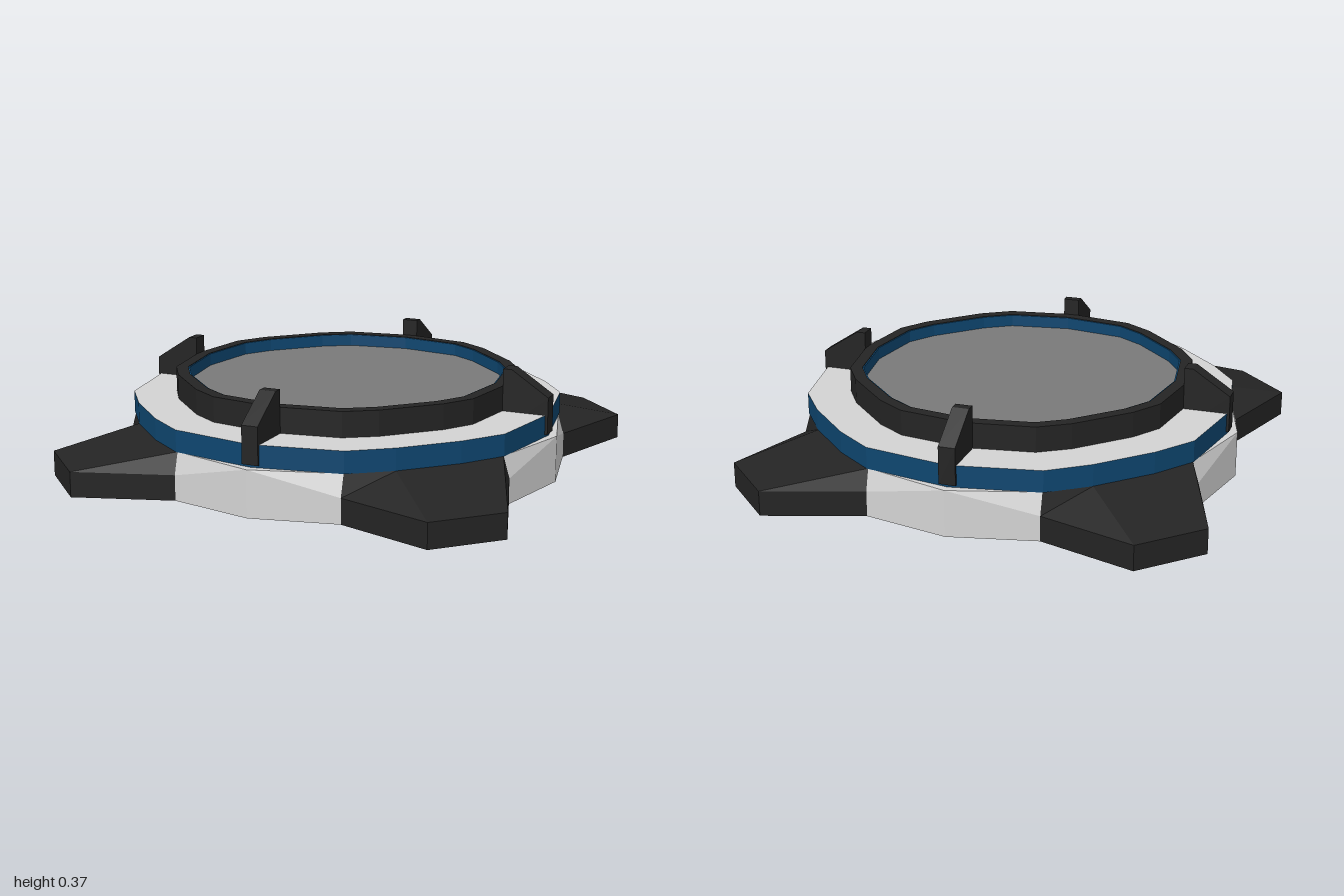
import * as THREE from 'three';

const mat = (name, color) => {
  const m = new THREE.MeshStandardMaterial({ color });
  m.name = name;
  return m;
};

// Repeats one quarter's points around the vertical axis
function fourfold(quarter, scale = 1) {
  const points = [];
  for (let q = 0; q < 4; q++) {
    for (const [x, y, h] of quarter) {
      const p = new THREE.Vector2(x, y).multiplyScalar(scale);
      for (let i = 0; i < q; i++) p.set(-p.y, p.x);
      points.push({ x: p.x, y: p.y, h });
    }
  }
  return points;
}

const toShape = (points) => new THREE.Shape(points.map((p) => new THREE.Vector2(p.x, p.y)));

// Upright slab with an optional hole, from y0 to y1
function slab(name, outer, y0, y1, materials, inner) {
  const shape = toShape(outer);
  if (inner) shape.holes.push(toShape(inner));
  const geo = new THREE.ExtrudeGeometry(shape, { depth: y1 - y0, bevelEnabled: false });
  geo.rotateX(-Math.PI / 2).translate(0, y0, 0);
  const mesh = new THREE.Mesh(geo, materials);
  mesh.name = name;
  return mesh;
}

// Flat-faced mesh from a list of corner points
function facets(name, corners, material) {
  const geo = new THREE.BufferGeometry();
  geo.setAttribute('position', new THREE.Float32BufferAttribute(corners.flat(), 3));
  geo.computeVertexNormals();
  const mesh = new THREE.Mesh(geo, material);
  mesh.name = name;
  return mesh;
}

export function createModel() {
  const group = new THREE.Group();
  group.name = 'landingPad';

  const dark = mat('charcoal', 0x242424);
  const light = mat('paleGrey', 0xd4d4d4);
  const blue = mat('deepBlue', 0x0e4670);
  const grey = mat('midGrey', 0x7a7a7a);

  // Base: foot outline with wall heights, sloping up to a smaller top outline
  const TOP = 0.157;
  const foot = fourfold([
    [1, 0.13, 0.085], [0.695, 0.285, 0.085], [0.535, 0.535, TOP],
    [0.285, 0.695, 0.085], [0.13, 1, 0.085],
  ]);
  const crown = fourfold([
    [0.71, 0.11], [0.68, 0.27], [0.535, 0.535], [0.27, 0.68], [0.11, 0.71],
  ]);
  const darkFaces = [];
  const lightFaces = [];
  const at = (p, y) => [p.x, y, -p.y];
  for (let i = 0; i < foot.length; i++) {
    const j = (i + 1) % foot.length;
    const k = i % 5;
    const faces = k === 1 || k === 2 ? lightFaces : darkFaces;
    const a = at(foot[i], 0), b = at(foot[j], 0);
    const c = at(foot[j], foot[j].h), d = at(foot[i], foot[i].h);
    const e = at(crown[j], TOP), f = at(crown[i], TOP);
    faces.push(a, b, c, a, c, d);
    if (k !== 1) faces.push(d, c, e);
    else faces.push(d, c, f);
    if (k !== 1 && k !== 2) faces.push(d, e, f);
    if (k === 2) faces.push();
  }
  group.add(facets('armSurfaces', darkFaces, dark));
  group.add(facets('cornerSurfaces', lightFaces, light));

  const underside = new THREE.Mesh(new THREE.ShapeGeometry(toShape(foot)), dark);
  underside.rotation.x = Math.PI / 2;
  underside.name = 'underside';
  group.add(underside);

  const baseTop = new THREE.Mesh(new THREE.ShapeGeometry(toShape(crown)), light);
  baseTop.rotation.x = -Math.PI / 2;
  baseTop.position.y = TOP;
  baseTop.name = 'baseTop';
  group.add(baseTop);

  // Deck with blue edge and pale top
  const deck = fourfold([
    [0.71, 0.11], [0.685, 0.27], [0.515, 0.515], [0.27, 0.685], [0.11, 0.71],
  ]);
  group.add(slab('deck', deck, TOP, 0.23, [light, blue]));

  // Raised rim, its blue lining and the grey floor inside
  const rim = [[0.57, 0.11], [0.545, 0.225], [0.41, 0.41], [0.225, 0.545], [0.11, 0.57]];
  group.add(slab('rim', fourfold(rim), 0.23, 0.315, dark, fourfold(rim, 0.93)));
  group.add(slab('rimLining', fourfold(rim, 0.93), 0.23, 0.313, blue, fourfold(rim, 0.922)));
  group.add(slab('floor', fourfold(rim, 0.925), 0.23, 0.272, grey));

  // Four diagonal clamps with sloping tops
  const profile = new THREE.Shape([
    [0.575, 0.165], [0.732, 0.165], [0.732, 0.29], [0.605, 0.373], [0.575, 0.373],
  ].map(([r, y]) => new THREE.Vector2(r, y)));
  const clampGeo = new THREE.ExtrudeGeometry(profile, { depth: 0.056, bevelEnabled: false });
  clampGeo.translate(0, 0, -0.028);
  for (let i = 0; i < 4; i++) {
    const clamp = new THREE.Mesh(clampGeo, dark);
    clamp.rotation.y = Math.PI / 4 + (i * Math.PI) / 2;
    clamp.name = 'clamp' + (i + 1);
    group.add(clamp);
  }

  return group;
}
